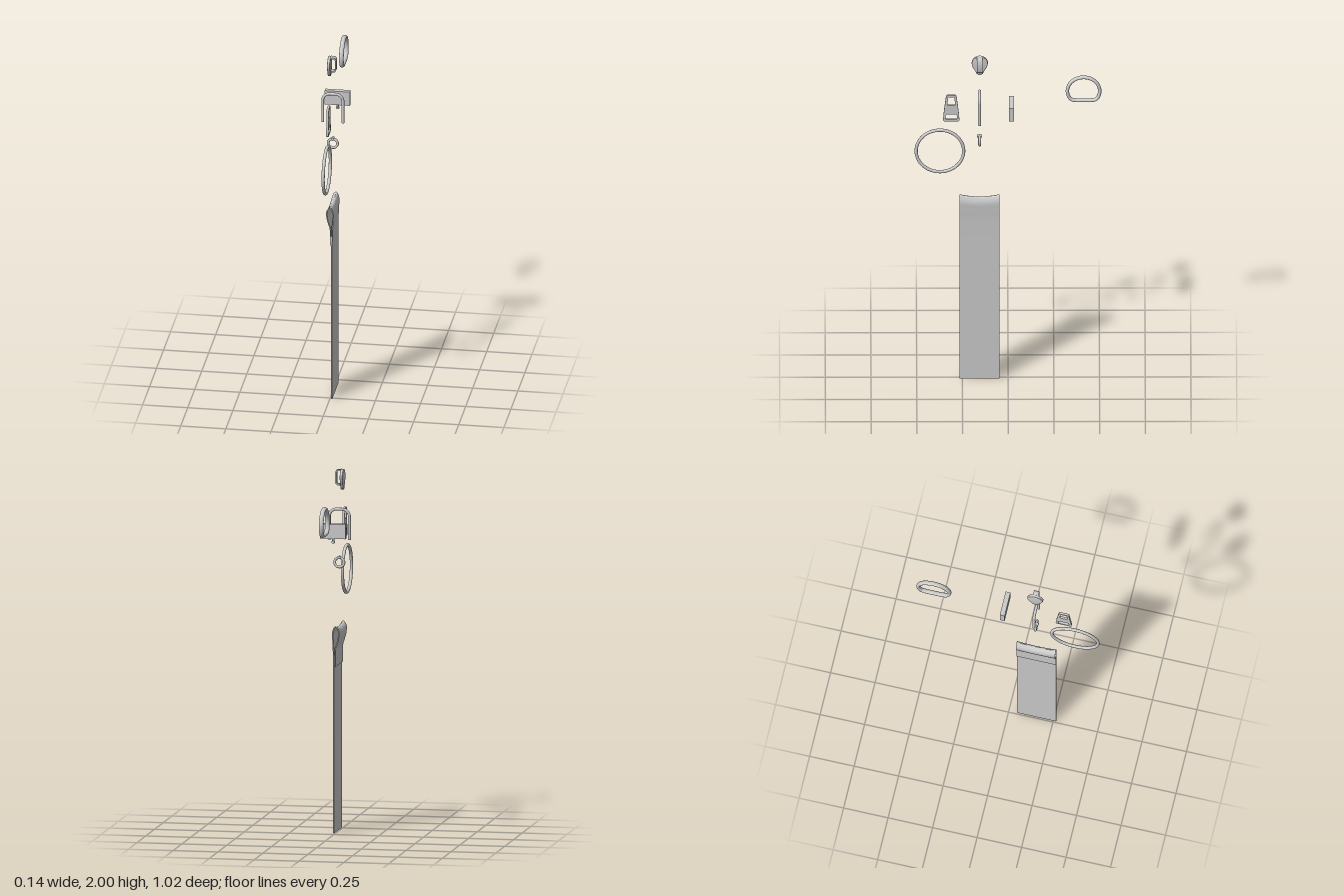
import * as THREE from 'three';
import { toCreasedNormals } from 'three/addons/utils/BufferGeometryUtils.js';

const V = (x, y, z = 0) => new THREE.Vector3(x, y, z);

export function createModel() {
  const group = new THREE.Group();
  const material = new THREE.MeshStandardMaterial({ color: 0xcccccc });

  function add(name, geometry, x = 0, y = 0, z = 0, parent = group) {
    const mesh = new THREE.Mesh(geometry, material);
    mesh.name = name;
    mesh.position.set(x, y, z);
    parent.add(mesh);
    return mesh;
  }

  function subgroup(name) {
    const g = new THREE.Group();
    g.name = name;
    group.add(g);
    return g;
  }

  // Plate drawn in (z, y), centred on x = 0
  function sidePlate(shape, thickness, bevel = 0) {
    const depth = thickness - 2 * bevel;
    const geo = new THREE.ExtrudeGeometry(shape, {
      depth, curveSegments: 16, bevelEnabled: bevel > 0,
      bevelSize: bevel, bevelThickness: bevel, bevelOffset: -bevel, bevelSegments: 3,
    });
    geo.translate(0, 0, -depth / 2);
    geo.rotateY(-Math.PI / 2);
    return toCreasedNormals(geo, 0.6);
  }

  // Polygon with rounded corners
  function rounded(points, r, Type = THREE.Shape) {
    const path = new Type();
    const pts = points.map(([x, y]) => new THREE.Vector2(x, y));
    pts.forEach((p, i) => {
      const before = pts[(i + pts.length - 1) % pts.length];
      const after = pts[(i + 1) % pts.length];
      const a = p.clone().add(before.clone().sub(p).setLength(r));
      const b = p.clone().add(after.clone().sub(p).setLength(r));
      if (i === 0) path.moveTo(a.x, a.y); else path.lineTo(a.x, a.y);
      path.quadraticCurveTo(p.x, p.y, b.x, b.y);
    });
    path.closePath();
    return path;
  }

  // Webbing strap: one long run folded over into a teardrop loop
  const loop = new THREE.CatmullRomCurve3([
    V(0.0105, 0.92), V(0.012, 1.0), V(0.015, 1.06), V(0.015, 1.115), V(0.001, 1.142),
    V(-0.016, 1.12), V(-0.015, 1.08), V(-0.006, 1.045), V(0.002, 1.02), V(0.0035, 0.98), V(0.0035, 0.92),
  ], false, 'centripetal');
  const line = [V(0.0105, 0), ...loop.getPoints(70)];
  const half = 0.003;
  const offset = (side) => line.map((p, i) => {
    const t = line[Math.min(i + 1, line.length - 1)].clone().sub(line[Math.max(i - 1, 0)]).normalize();
    return new THREE.Vector2(p.x - t.y * side * half, p.y + t.x * side * half);
  });
  const strapWidth = 0.22;
  const strap = new THREE.ExtrudeGeometry(
    new THREE.Shape([...offset(-1), ...offset(1).reverse()]),
    { depth: strapWidth, steps: 20, bevelEnabled: false });
  strap.translate(0, 0, -strapWidth / 2);
  // Sag the top of the loop toward the middle
  const pos = strap.attributes.position;
  for (let i = 0; i < pos.count; i++) {
    const lift = Math.max(0, (pos.getY(i) - 1.02) / 0.125);
    const across = pos.getZ(i) / (strapWidth / 2);
    pos.setY(i, pos.getY(i) - 0.014 * lift * (1 - across * across));
  }
  add('strap', toCreasedNormals(strap, 0.7), 0, 0, 0.156);

  // Large key ring
  const keyRing = new THREE.TorusGeometry(0.13, 0.009, 16, 72);
  keyRing.rotateY(Math.PI / 2);
  add('keyRing', keyRing, 0, 1.417, 0.373);

  // Small ring with a short barrel on top
  const eyelet = subgroup('smallRing');
  add('ringBody', new THREE.TorusGeometry(0.026, 0.0075, 12, 36), 0, 1.483, 0.156, eyelet);
  const barrel = new THREE.CylinderGeometry(0.008, 0.008, 0.027, 20);
  barrel.rotateX(Math.PI / 2);
  add('ringBarrel', barrel, 0, 1.511, 0.156, eyelet);

  // U-shaped shackle bar
  const shackle = new THREE.CurvePath();
  const w = 0.056, top = 1.777, r = 0.04, k = r * 0.45;
  shackle.add(new THREE.LineCurve3(V(-w, 1.608), V(-w, top - r)));
  shackle.add(new THREE.CubicBezierCurve3(V(-w, top - r), V(-w, top - k), V(-w + k, top), V(-w + r, top)));
  shackle.add(new THREE.LineCurve3(V(-w + r, top), V(w - r, top)));
  shackle.add(new THREE.CubicBezierCurve3(V(w - r, top), V(w - k, top), V(w, top - k), V(w, top - r)));
  shackle.add(new THREE.LineCurve3(V(w, top - r), V(w, 1.608)));
  const bar = subgroup('shackle');
  add('shackleBar', new THREE.TubeGeometry(shackle, 90, 0.008, 14), 0, 0, 0.156, bar);
  for (const side of [-1, 1]) {
    const end = new THREE.CircleGeometry(0.008, 14);
    end.rotateX(Math.PI / 2);
    add('shackleEnd', end, side * w, 1.608, 0.156, bar);
  }

  // Lock block with a headed stud underneath
  const block = subgroup('lockBlock');
  add('blockBody', new THREE.BoxGeometry(0.14, 0.082, 0.027), 0, 1.681, -0.019, block);
  add('studNeck', new THREE.CylinderGeometry(0.006, 0.006, 0.02, 20), 0, 1.632, -0.019, block);
  add('studHead', new THREE.CylinderGeometry(0.0095, 0.0095, 0.01, 20), 0, 1.62, -0.019, block);

  // D-ring with an oval section
  const dPath = new THREE.CatmullRomCurve3([
    [0, 1.719], [0.045, 1.719], [0.07, 1.727], [0.084, 1.75], [0.088, 1.785], [0.073, 1.825],
    [0.042, 1.852], [0, 1.862], [-0.042, 1.852], [-0.073, 1.825], [-0.088, 1.785], [-0.084, 1.75],
    [-0.07, 1.727], [-0.045, 1.719],
  ].map(([z, y]) => V(0, y, z)), true, 'centripetal');
  const dRing = new THREE.TubeGeometry(dPath, 90, 0.0095, 16, true);
  dRing.scale(1.35, 1, 1);
  add('dRing', dRing, -0.027, 0, -0.413);

  // Tapered pull tab with two windows
  const tab = rounded([[-0.045, 1.605], [0.045, 1.605], [0.042, 1.65], [0.028, 1.766], [-0.028, 1.766], [-0.042, 1.65]], 0.011);
  tab.holes.push(
    rounded([[-0.022, 1.704], [0.022, 1.704], [0.017, 1.756], [-0.017, 1.756]], 0.006, THREE.Path),
    rounded([[-0.032, 1.616], [0.032, 1.616], [0.03, 1.648], [-0.03, 1.648]], 0.011, THREE.Path));
  add('pullTab', sidePlate(tab, 0.012), 0, 0, 0.311);

  // Slider: shield-shaped plate with a bracket handle
  const slider = subgroup('slider');
  const shield = new THREE.Shape();
  shield.moveTo(0, 2);
  shield.bezierCurveTo(0.026, 2, 0.044, 1.978, 0.044, 1.958);
  shield.bezierCurveTo(0.044, 1.93, 0.024, 1.915, 0.018, 1.895);
  shield.quadraticCurveTo(0.013, 1.886, 0, 1.886);
  shield.quadraticCurveTo(-0.013, 1.886, -0.018, 1.895);
  shield.bezierCurveTo(-0.024, 1.915, -0.044, 1.93, -0.044, 1.958);
  shield.bezierCurveTo(-0.044, 1.978, -0.026, 2, 0, 2);
  add('sliderPlate', sidePlate(shield, 0.016, 0.003), -0.018, 0, 0.155, slider);
  const bracket = rounded([[-0.014, 1.908], [0.013, 1.912], [0.02, 1.922], [0.02, 1.986], [0.013, 1.997], [-0.014, 1.999]], 0.004);
  bracket.holes.push(rounded([[-0.01, 1.917], [0.009, 1.92], [0.013, 1.926], [0.013, 1.982], [0.009, 1.989], [-0.01, 1.991]], 0.002, THREE.Path));
  const handle = new THREE.ExtrudeGeometry(bracket, { depth: 0.03, bevelEnabled: false });
  add('sliderHandle', toCreasedNormals(handle, 0.6), 0, 0, 0.14, slider);

  return group;
}
